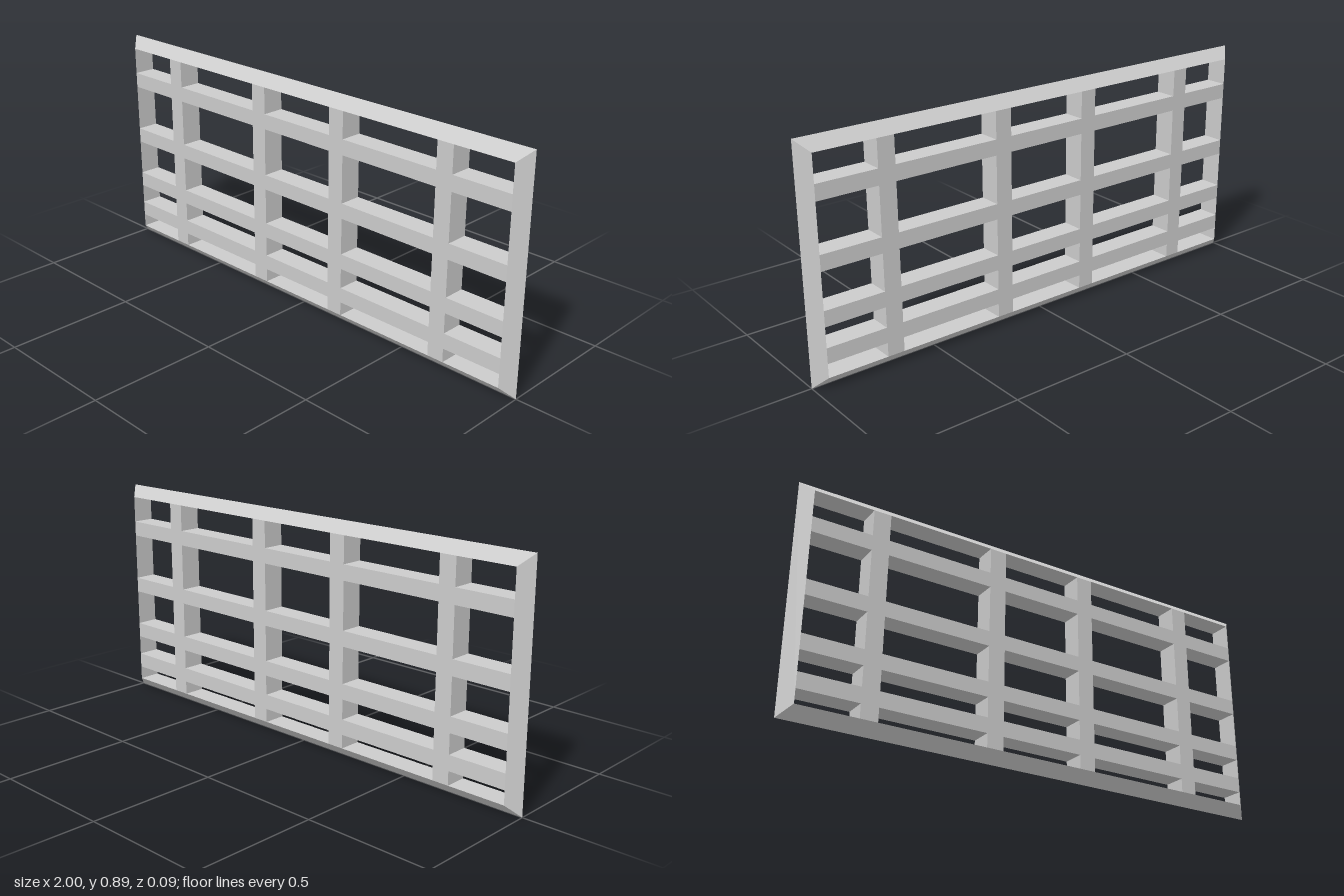
import * as THREE from 'three';

const H = 0.895, MID = H / 2;      // overall height and its middle
const IX = 0.955, IY = MID - 0.044; // half size of the opening
const D = 0.044;                    // half depth

// Mitred rectangular rim with a triangular section: ridge outside, flat wall inside
function rimGeometry() {
  const section = [[1, MID, 0], [IX, IY, D], [IX, IY, -D]];
  const corners = [[-1, -1], [1, -1], [1, 1], [-1, 1]];
  const point = (c, s) => {
    const [sx, sy] = corners[c % 4], [x, y, z] = section[s % 3];
    return [sx * x, MID + sy * y, z];
  };
  const pos = [];
  for (let c = 0; c < 4; c++) {
    for (let s = 0; s < 3; s++) {
      const a = point(c, s), b = point(c + 1, s);
      const d = point(c, s + 1), e = point(c + 1, s + 1);
      pos.push(...a, ...b, ...e, ...a, ...e, ...d);
    }
  }
  const g = new THREE.BufferGeometry();
  g.setAttribute('position', new THREE.Float32BufferAttribute(pos, 3));
  g.computeVertexNormals();
  return g;
}

export function createModel() {
  const model = new THREE.Group();
  model.name = 'latticePanel';
  const material = new THREE.MeshStandardMaterial({ color: 0xcccccc, flatShading: true });

  const add = (geometry, name, x = 0, y = 0) => {
    const mesh = new THREE.Mesh(geometry, material);
    mesh.name = name;
    mesh.position.set(x, y, 0);
    model.add(mesh);
  };

  add(rimGeometry(), 'outerFrame');

  // Upright bars
  const uprights = [-0.692, -0.203, 0.198, 0.685], barW = 0.067;
  for (const x of uprights) {
    add(new THREE.BoxGeometry(barW, 2 * IY, 2 * D), 'uprightBar', x, MID);
  }

  // Rails, fitted between the uprights
  const rails = [0.128, 0.267, 0.47, 0.716], railH = 0.06;
  const starts = [-IX, ...uprights.map((x) => x + barW / 2)];
  const ends = [...uprights.map((x) => x - barW / 2), IX];
  for (const y of rails) {
    starts.forEach((x0, i) => {
      add(new THREE.BoxGeometry(ends[i] - x0, railH, 2 * D), 'rail', (x0 + ends[i]) / 2, y);
    });
  }
  return model;
}
